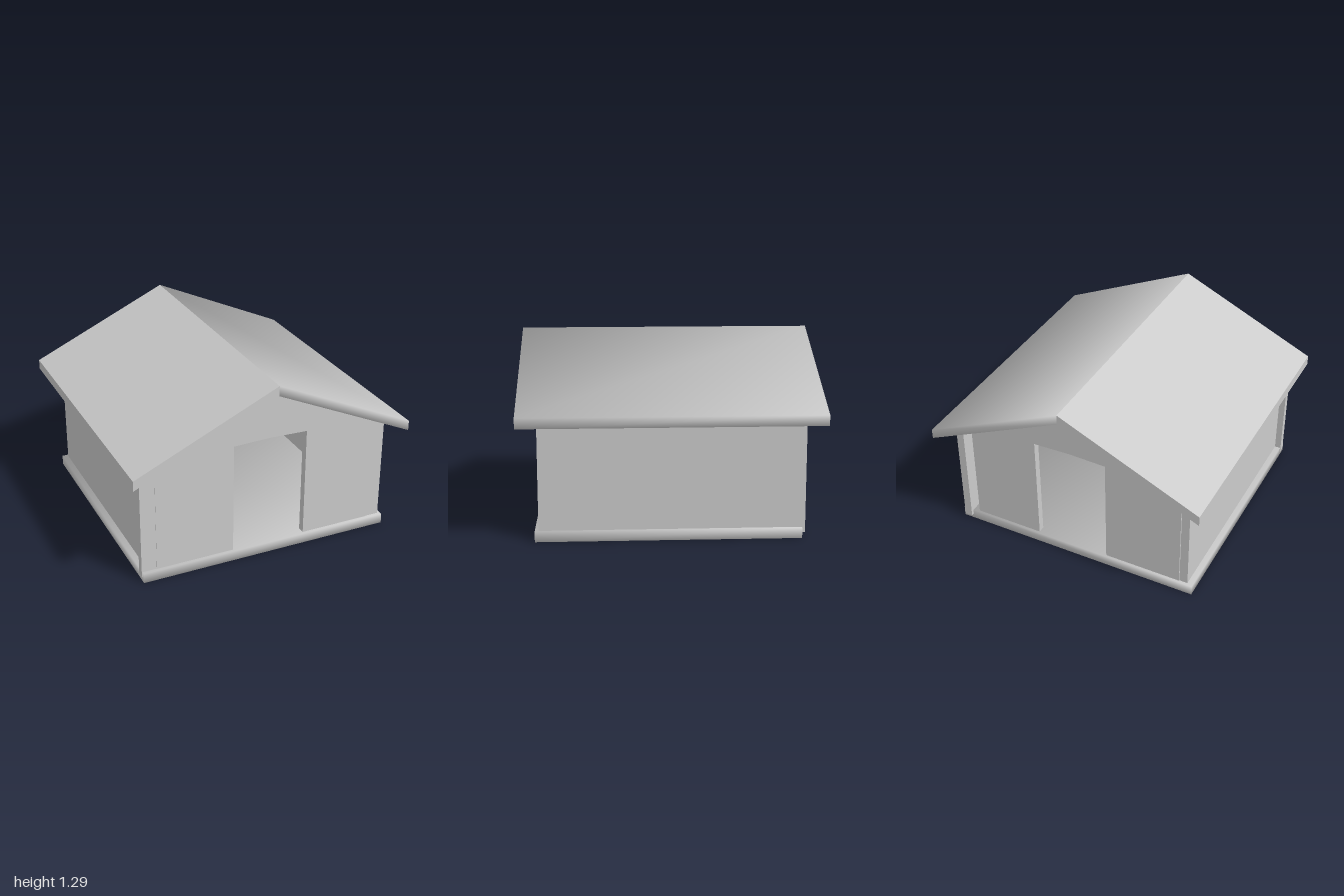
import * as THREE from 'three';

const EAVE_X = 0.99, RIDGE_Y = 1.22, SLOPE = 0.4545, ROOF_T = 0.07, BASE_Y = 0.035;
const underRoof = (x) => RIDGE_Y - 0.003 - SLOPE * Math.abs(x);

const grey = () => new THREE.MeshStandardMaterial({ color: 0xcccccc });

// Upright slab: an outline in x and y pulled from z0 to z1
function slab(name, points, z0, z1, hole) {
  const shape = new THREE.Shape(points.map(([x, y]) => new THREE.Vector2(x, y)));
  if (hole) shape.holes.push(new THREE.Path(hole.map(([x, y]) => new THREE.Vector2(x, y))));
  const geo = new THREE.ExtrudeGeometry(shape, { depth: z1 - z0, bevelEnabled: false });
  geo.translate(0, 0, z0);
  const mesh = new THREE.Mesh(geo, grey());
  mesh.name = name;
  return mesh;
}

// Wall piece whose top follows the underside of the roof
const wall = (name, x0, x1, z0, z1) => slab(name,
  [[x0, BASE_Y], [x1, BASE_Y], [x1, underRoof(x1)], [x0, underRoof(x0)]], z0, z1);

// Gable end with a doorway running down to the floor
const gable = (name, z0, z1) => slab(name, [
  [-0.8, BASE_Y], [-0.25, BASE_Y], [-0.25, 0.855], [0.01, 0.863], [0.28, 0.855], [0.28, BASE_Y],
  [0.78, BASE_Y], [0.78, underRoof(0.78)], [0, 1.212], [-0.8, underRoof(-0.8)],
], z0, z1);

// Share one averaged normal between the faces that meet at a corner
function soften(mesh) {
  const geo = mesh.geometry = mesh.geometry.index ? mesh.geometry.toNonIndexed() : mesh.geometry;
  const pos = geo.attributes.position, nor = geo.attributes.normal;
  const corners = new Map();
  const p = new THREE.Vector3();
  const keyOf = (i) => p.fromBufferAttribute(pos, i).toArray().map((v) => Math.round(v * 1000)).join();
  for (let i = 0; i < pos.count; i++) {
    const n = new THREE.Vector3().fromBufferAttribute(nor, i);
    const list = corners.get(keyOf(i)) ?? [];
    if (!list.some((m) => m.dot(n) > 0.999)) list.push(n);
    corners.set(keyOf(i), list);
  }
  for (let i = 0; i < pos.count; i++) {
    const sum = new THREE.Vector3();
    corners.get(keyOf(i)).forEach((n) => sum.add(n));
    sum.normalize();
    nor.setXYZ(i, sum.x, sum.y, sum.z);
  }
  return mesh;
}

// One slope of the roof, with plumb-cut eaves
function roofSlope(name, side) {
  const eaveY = RIDGE_Y - SLOPE * EAVE_X;
  return slab(name, [
    [0, RIDGE_Y], [side * EAVE_X, eaveY], [side * EAVE_X, eaveY + ROOF_T], [0, RIDGE_Y + ROOF_T],
  ], -1, 1);
}

export function createModel() {
  const model = new THREE.Group();
  model.name = 'shed';

  // Floor slab
  const floor = slab('floor', [[-0.9, 0], [0.9, 0], [0.9, 0.07], [-0.9, 0.07]], -0.856, 0.893);
  model.add(soften(floor));

  // Gable ends
  model.add(gable('frontGable', 0.82, 0.872), gable('backGable', -0.84, -0.79));

  // Side walls: the left one overlaps the back, the right one stops at the front wall
  model.add(wall('leftWall', 0.825, 0.88, -0.877, 0.869));
  model.add(wall('rightWall', -0.86, -0.802, -0.835, 0.82));

  // Corner strips finishing the front wall
  model.add(wall('frontRightCorner', -0.905, -0.8, 0.82, 0.869));
  model.add(wall('frontLeftCorner', 0.78, 0.825, 0.82, 0.869));

  // Roof
  model.add(roofSlope('rightRoof', -1), soften(roofSlope('leftRoof', 1)));

  return model;
}
